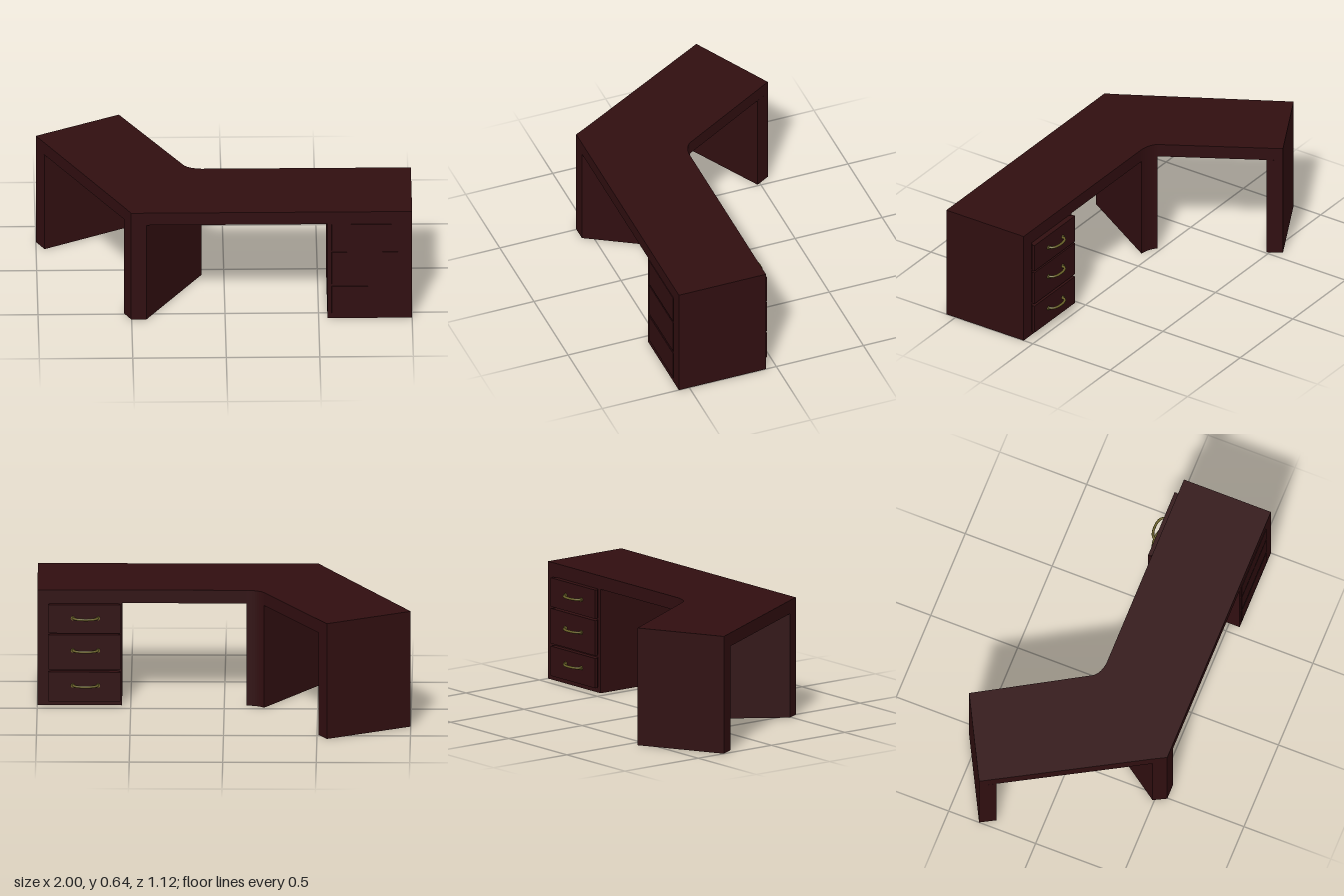
import * as THREE from 'three';

const wood = new THREE.MeshStandardMaterial({ color: 0x300e10 });
wood.name = 'dark mahogany';
const brass = new THREE.MeshStandardMaterial({ color: 0x6b6128 });
brass.name = 'aged brass';

// Floor-plan outline (x, z points) raised from y0 to y1
function prism(name, plan, y0, y1) {
  const shape = plan instanceof THREE.Shape
    ? plan
    : new THREE.Shape(plan.map(([x, z]) => new THREE.Vector2(x, -z)));
  const geo = new THREE.ExtrudeGeometry(shape, { depth: y1 - y0, bevelEnabled: false, curveSegments: 8 });
  geo.rotateX(-Math.PI / 2);
  const mesh = new THREE.Mesh(geo, wood);
  mesh.name = name;
  mesh.position.y = y0;
  return mesh;
}

// Bowed drawer pull with a round foot at each end
function drawerPull(x, y, z) {
  const pull = new THREE.Group();
  pull.name = 'drawerPull';
  const path = new THREE.CatmullRomCurve3([
    [-0.068, 0.002], [-0.055, -0.022], [-0.03, -0.033], [0, -0.036],
    [0.03, -0.033], [0.055, -0.022], [0.068, 0.002],
  ].map(([px, pz]) => new THREE.Vector3(px, 0, pz)));
  const bow = new THREE.Mesh(new THREE.TubeGeometry(path, 24, 0.007, 8), brass);
  bow.name = 'pullBow';
  pull.add(bow);
  for (const side of [-1, 1]) {
    const foot = new THREE.Mesh(new THREE.CylinderGeometry(0.011, 0.011, 0.008, 12), brass);
    foot.name = 'pullFoot';
    foot.rotation.x = Math.PI / 2;
    foot.position.set(side * 0.068, 0, -0.003);
    pull.add(foot);
  }
  pull.position.set(x, y, z);
  return pull;
}

export function createModel() {
  const desk = new THREE.Group();
  desk.name = 'cornerDesk';
  const topBase = 0.57, topHeight = 0.643;

  // Angled desktop with a rounded inner corner
  const top = new THREE.Shape();
  top.moveTo(-1, 0.325);
  top.lineTo(-0.54, -0.49);
  top.lineTo(-0.503, -0.56);
  top.lineTo(1, -0.56);
  top.lineTo(1, -0.06);
  top.lineTo(-0.12, -0.06);
  top.quadraticCurveTo(-0.185, -0.055, -0.213, -0.02);
  top.lineTo(-0.553, 0.56);
  desk.add(prism('desktop', top, topBase, topHeight));

  // End panel under the wing
  desk.add(prism('wingEndPanel', [[-1, -0.325], [-0.954, -0.243], [-0.508, -0.484], [-0.553, -0.56]], 0, topBase));

  // Diagonal panel under the corner, rounded at the inner end
  const corner = new THREE.Shape();
  corner.moveTo(-0.54, -0.49);
  corner.lineTo(-0.503, -0.56);
  corner.lineTo(-0.42, -0.56);
  corner.lineTo(-0.12, -0.06);
  corner.quadraticCurveTo(-0.185, -0.055, -0.213, -0.02);
  desk.add(prism('cornerPanel', corner, 0, topBase));

  // Drawer cabinet
  desk.add(prism('cabinet', [[0.547, 0.06], [1, 0.06], [1, 0.56], [0.547, 0.56]], 0, topBase));

  // Three drawers: chamfered front, brass pull, and thin back plate
  for (const [y0, y1, pullY] of [[0.03, 0.193, 0.12], [0.208, 0.4, 0.315], [0.41, 0.568, 0.495]]) {
    desk.add(prism('drawerFront', [
      [0.556, 0.03], [0.941, 0.03], [0.941, 0.045], [0.925, 0.06], [0.572, 0.06], [0.556, 0.045],
    ], y0, y1));
    desk.add(drawerPull(0.742, pullY, 0.03));
    desk.add(prism('drawerBack', [[0.57, 0.559], [0.925, 0.559], [0.925, 0.563], [0.57, 0.563]], y0, y1));
  }
  return desk;
}
